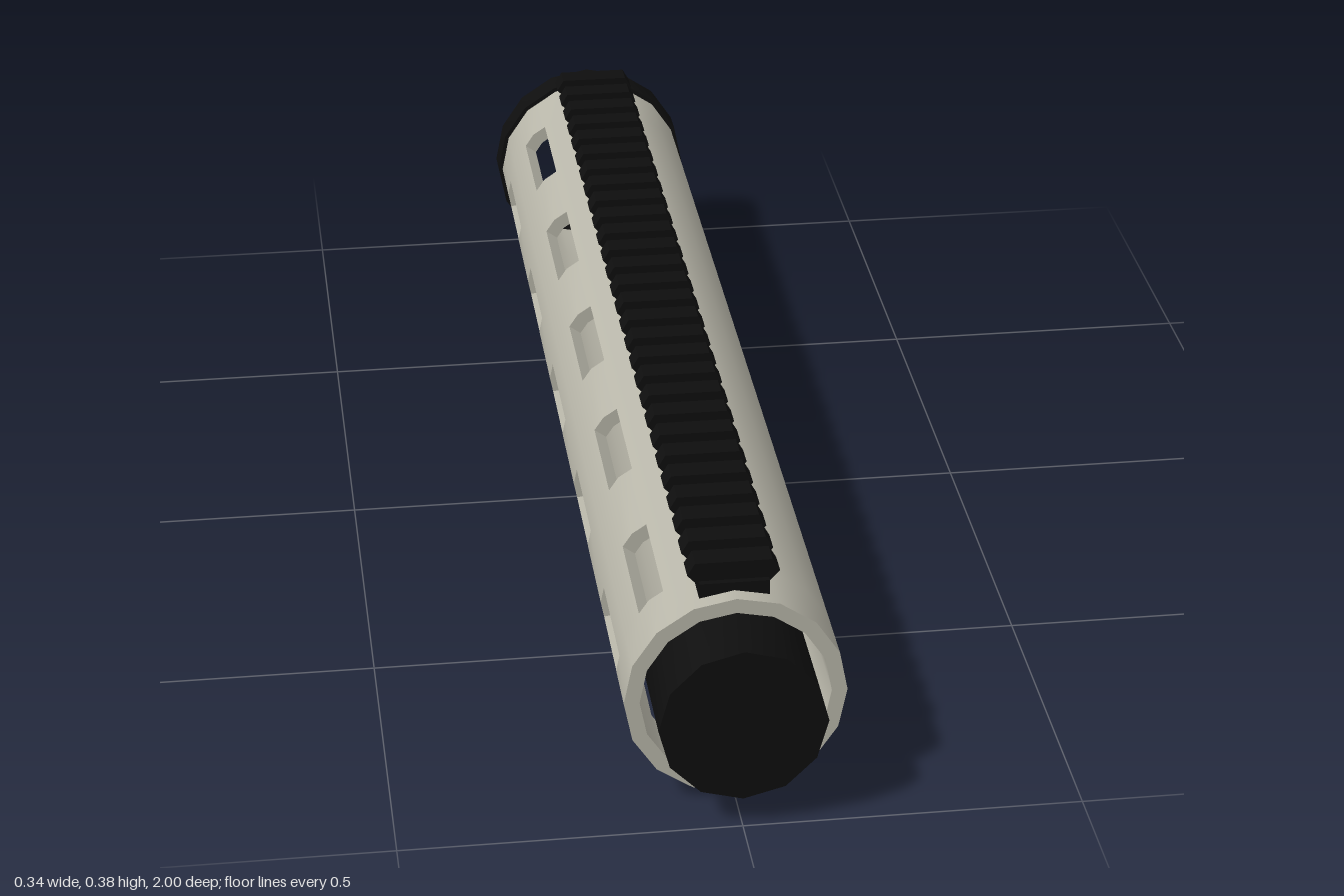
import * as THREE from 'three';
import { toCreasedNormals } from 'three/addons/utils/BufferGeometryUtils.js';

const CY = 0.17, SIDES = 16, STEP = 360 / SIDES;
const SLOT_Z = [-0.74, -0.375, -0.005, 0.36, 0.73], SLOT_HALF = 0.098;
const SLOT_ANGLES = [90, 135, 180, 225, 270], SLOT_SPREAD = 9;

// Point on a 16-sided section (angle in degrees, counted from +x)
function onSection(angle, r, z) {
  const off = (((angle % STEP) + STEP) % STEP) - STEP / 2;
  const k = r * Math.cos(THREE.MathUtils.degToRad(STEP / 2)) / Math.cos(THREE.MathUtils.degToRad(off));
  const a = THREE.MathUtils.degToRad(angle);
  return [k * Math.cos(a), k * Math.sin(a), z];
}

// Thick faceted tube with rows of slots cut through its wall
function slottedTube(rOut, rIn, zBack, zFront) {
  const angles = [];
  for (let i = 0; i < SIDES; i++) angles.push(i * STEP);
  for (const c of SLOT_ANGLES) angles.push(c - SLOT_SPREAD, c + SLOT_SPREAD);
  angles.sort((a, b) => a - b);
  const n = angles.length;
  angles.push(360);
  const zs = [zBack];
  for (const z of SLOT_Z) zs.push(z - SLOT_HALF, z + SLOT_HALF);
  zs.push(zFront);
  const rows = zs.length - 1;

  const solid = (i, j) => {
    if (j < 0 || j >= rows) return false;
    const k = (i + n) % n, mid = (angles[k] + angles[k + 1]) / 2;
    return !(j % 2 === 1 && SLOT_ANGLES.some((c) => Math.abs(mid - c) < SLOT_SPREAD));
  };
  const pos = [];
  const quad = (a, b, c, d) => pos.push(...a, ...b, ...c, ...a, ...c, ...d);
  for (let i = 0; i < n; i++) {
    for (let j = 0; j < rows; j++) {
      if (!solid(i, j)) continue;
      const [a0, a1, z0, z1] = [angles[i], angles[i + 1], zs[j], zs[j + 1]];
      const o = (a, z) => onSection(a, rOut, z), q = (a, z) => onSection(a, rIn, z);
      quad(o(a0, z0), o(a1, z0), o(a1, z1), o(a0, z1));
      quad(q(a0, z0), q(a0, z1), q(a1, z1), q(a1, z0));
      if (!solid(i, j + 1)) quad(o(a0, z1), o(a1, z1), q(a1, z1), q(a0, z1));
      if (!solid(i, j - 1)) quad(o(a0, z0), q(a0, z0), q(a1, z0), o(a1, z0));
      if (!solid(i + 1, j)) quad(o(a1, z0), q(a1, z0), q(a1, z1), o(a1, z1));
      if (!solid(i - 1, j)) quad(o(a0, z0), o(a0, z1), q(a0, z1), q(a0, z0));
    }
  }
  const g = new THREE.BufferGeometry();
  g.setAttribute('position', new THREE.Float32BufferAttribute(pos, 3));
  return toCreasedNormals(g, 0.5);
}

// Square-section ring along z
function band(rOut, rIn, zBack, zFront) {
  const p = [[rIn, zFront], [rIn, zBack], [rOut, zBack], [rOut, zFront], [rIn, zFront]];
  const g = new THREE.LatheGeometry(p.map(([r, z]) => new THREE.Vector2(r, z)), SIDES);
  return toCreasedNormals(g.rotateX(Math.PI / 2), 0.5);
}

export function createModel() {
  const model = new THREE.Group();
  const grey = new THREE.MeshStandardMaterial({ color: 0xb8b6a9 });
  grey.name = 'warm grey';
  const black = new THREE.MeshStandardMaterial({ color: 0x0e0e0e });
  black.name = 'black';
  const add = (name, geometry, material, parent = model) => {
    const mesh = new THREE.Mesh(geometry, material);
    mesh.name = name;
    parent.add(mesh);
    return mesh;
  };

  // Main tube and the parts sharing its axis
  add('slottedTube', slottedTube(0.163, 0.14, -0.95, 0.92), grey).position.y = CY;
  add('rearBand', band(0.17, 0.14, -0.998, -0.948), black).position.y = CY;
  add('rearFace', band(0.156, 0.139, -1, -0.992), grey).position.y = CY;
  const plug = new THREE.CylinderGeometry(0.123, 0.123, 0.16, 12).rotateX(Math.PI / 2);
  add('frontPlug', toCreasedNormals(plug, 0.6), black).position.set(0, CY, 0.92);

  // Top rail: slotted base strip
  const rail = new THREE.Group();
  rail.name = 'topRail';
  model.add(rail);
  const rect = (path, x, z0, z1) => path.setFromPoints(
    [[-x, z0], [x, z0], [x, z1], [-x, z1]].map(([a, b]) => new THREE.Vector2(a, b)));
  const strip = rect(new THREE.Shape(), 0.051, -0.895, 0.925);
  for (const z of SLOT_Z) strip.holes.push(rect(new THREE.Path(), 0.02, -z - SLOT_HALF, -z + SLOT_HALF));
  const base = new THREE.ExtrudeGeometry(strip, { depth: 0.024, bevelEnabled: false });
  add('railBase', base.rotateX(-Math.PI / 2), black, rail).position.y = 0.322;

  // Rail teeth
  const half = [[0.05, 0.33], [0.05, 0.338], [0.067, 0.356], [0.056, 0.375]];
  const outline = [...half, ...half.map(([x, y]) => [-x, y]).reverse()];
  const tooth = new THREE.ExtrudeGeometry(
    new THREE.Shape(outline.map(([x, y]) => new THREE.Vector2(x, y))),
    { depth: 0.038, bevelEnabled: false });
  for (let i = 0; i < 28; i++) {
    add('railTooth', tooth, black, rail).position.z = 0.848 - i * 0.065;
  }
  return model;
}
